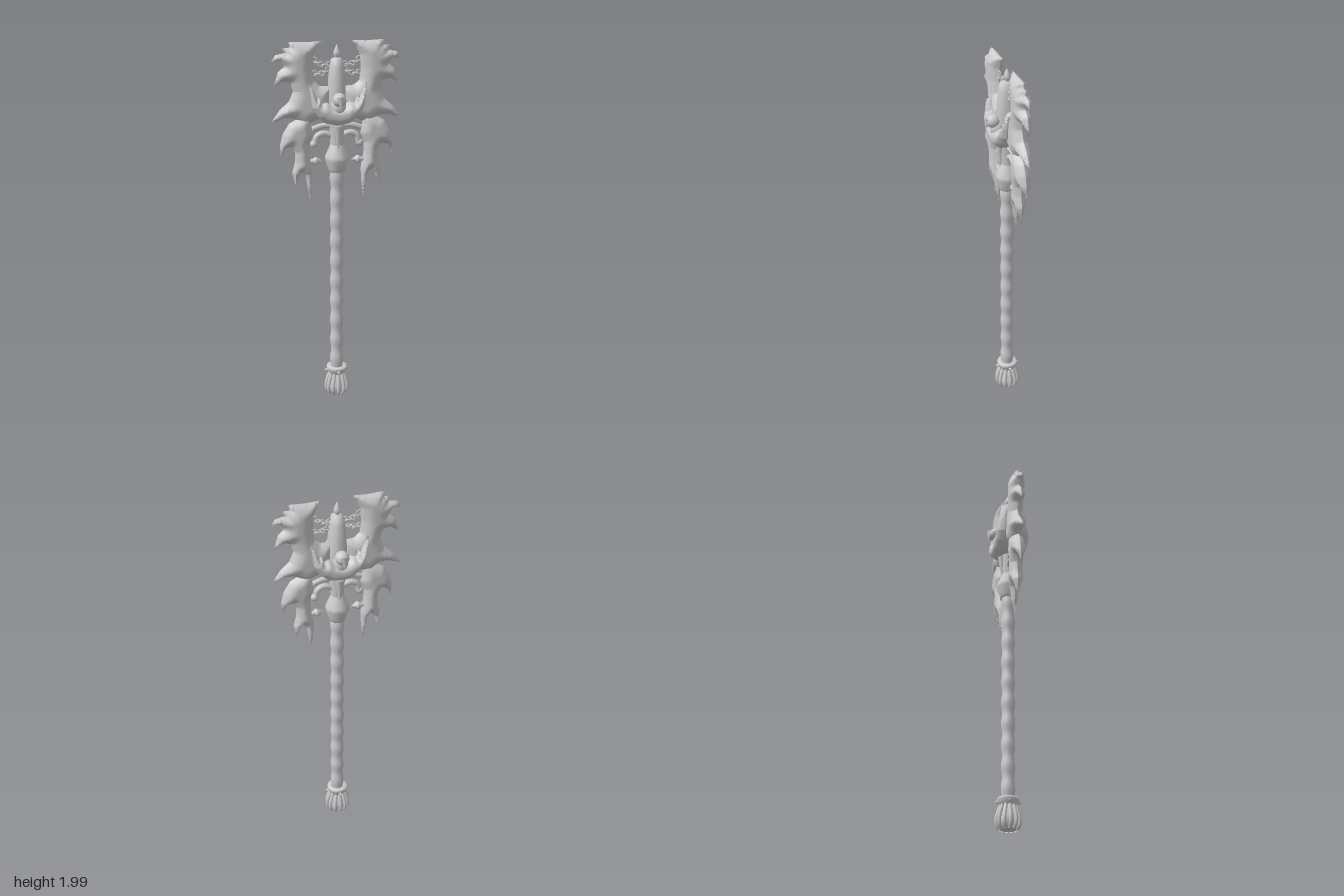
import * as THREE from 'three';
import { mergeVertices, mergeGeometries } from 'three/addons/utils/BufferGeometryUtils.js';

const material = new THREE.MeshStandardMaterial({ color: 0xcccccc, side: THREE.DoubleSide });
const V = (x, y, z = 0) => new THREE.Vector3(x, y, z);

function add(parent, name, geometry, x = 0, y = 0, z = 0) {
  const mesh = new THREE.Mesh(geometry, material);
  mesh.name = name;
  mesh.position.set(x, y, z);
  parent.add(mesh);
  return mesh;
}

const lathe = (pts, sides) => new THREE.LatheGeometry(pts.map(p => new THREE.Vector2(...p)), sides);
const tube = (pts, r, n = 12) => new THREE.TubeGeometry(new THREE.CatmullRomCurve3(pts), n, r, 8);

// Distance from a point to the closed outline
function edgeDistance(x, y, pts) {
  let best = Infinity;
  pts.forEach(([ax, ay], i) => {
    const [bx, by] = pts[(i + 1) % pts.length];
    const dx = bx - ax, dy = by - ay;
    const t = THREE.MathUtils.clamp(((x - ax) * dx + (y - ay) * dy) / (dx * dx + dy * dy), 0, 1);
    best = Math.min(best, Math.hypot(x - ax - t * dx, y - ay - t * dy));
  });
  return best;
}

// Flat outline swollen on both sides: thin at the edge, thick inside
function puff(pts, edge, depth, falloff, power, maxEdge = 0.018) {
  const flat = new THREE.ShapeGeometry(new THREE.Shape(pts.map(p => new THREE.Vector2(...p)))).toNonIndexed();
  const p = flat.attributes.position, front = [];
  const split = (a, b, c) => {
    const ab = a.distanceTo(b), bc = b.distanceTo(c), ca = c.distanceTo(a);
    const m = Math.max(ab, bc, ca);
    if (m < maxEdge) { front.push(a, b, c); return; }
    if (m === bc) return split(b, c, a);
    if (m === ca) return split(c, a, b);
    const mid = a.clone().add(b).multiplyScalar(0.5);
    split(a, mid, c);
    split(mid, b, c);
  };
  for (let i = 0; i < p.count; i += 3) {
    split(...[0, 1, 2].map(k => V(p.getX(i + k), p.getY(i + k))));
  }
  const raised = front.map(v => {
    const d = Math.min(1, edgeDistance(v.x, v.y, pts) / falloff);
    return V(v.x, v.y, edge + depth * Math.pow(1 - (1 - d) * (1 - d), power));
  });
  const back = [];
  for (let i = 0; i < raised.length; i += 3) {
    [0, 2, 1].forEach(k => back.push(V(raised[i + k].x, raised[i + k].y, -raised[i + k].z)));
  }
  const halves = [raised, back];
  if (edge > 0) {
    const wall = [];
    pts.forEach(([ax, ay], i) => {
      const [bx, by] = pts[(i + 1) % pts.length];
      const a = V(ax, ay, -edge), b = V(bx, by, -edge), c = V(bx, by, edge), d = V(ax, ay, edge);
      wall.push(a, b, c, a, c, d);
    });
    halves.push(wall);
  }
  return mergeGeometries(halves.map(h => {
    const g = mergeVertices(new THREE.BufferGeometry().setFromPoints(h), 1e-5);
    g.computeVertexNormals();
    return g.toNonIndexed();
  }));
}

// Upper wing with barbs, then the lower wing with hanging points
const upperBlade = [
  [0.07, 1.995], [0.15, 1.99], [0.25, 1.995], [0.238, 1.965], [0.285, 1.965], [0.262, 1.94],
  [0.315, 1.93], [0.338, 1.895], [0.295, 1.9], [0.272, 1.87], [0.305, 1.84], [0.328, 1.765],
  [0.28, 1.795], [0.24, 1.785], [0.228, 1.74], [0.25, 1.69], [0.3, 1.645], [0.345, 1.58],
  [0.27, 1.605], [0.22, 1.6], [0.175, 1.56], [0.12, 1.58], [0.03, 1.62], [0.03, 1.76],
  [0.09, 1.765], [0.118, 1.79], [0.125, 1.85], [0.12, 1.92], [0.1, 1.97],
];
const lowerBlade = [
  [0.14, 1.62], [0.19, 1.605], [0.25, 1.575], [0.285, 1.52], [0.3, 1.46], [0.295, 1.39],
  [0.268, 1.445], [0.24, 1.45], [0.222, 1.42], [0.222, 1.37], [0.238, 1.31], [0.22, 1.235],
  [0.205, 1.285], [0.185, 1.31], [0.167, 1.29], [0.158, 1.23], [0.145, 1.15], [0.133, 1.24],
  [0.128, 1.32], [0.142, 1.4], [0.145, 1.46], [0.125, 1.51], [0.135, 1.56],
];
// Right half of the horned crescent, from bottom centre to the inside centre
const crescentHalf = [
  [0, 1.565], [0.06, 1.575], [0.105, 1.61], [0.135, 1.66], [0.143, 1.72], [0.15, 1.785],
  [0.125, 1.735], [0.108, 1.7], [0.1, 1.72], [0.085, 1.68], [0.06, 1.685], [0.03, 1.665], [0, 1.66],
];

export function createModel() {
  const model = new THREE.Group();

  // Rippled shaft
  const shaft = [];
  for (let i = 0; i <= 80; i++) {
    const y = 0.16 + i * 1.16 / 80;
    shaft.push([0.035 + 0.003 * Math.cos((y - 0.22) * 2 * Math.PI / 0.117), y]);
  }
  add(model, 'shaft', lathe(shaft, 12));

  // Pommel: ribbed bulb under a spiked collar
  const pommel = new THREE.Group();
  pommel.name = 'pommel';
  model.add(pommel);
  add(pommel, 'bulb', lathe([[0, 0.005], [0.04, 0.008], [0.055, 0.03], [0.057, 0.06], [0.045, 0.1], [0.037, 0.14]], 20));
  add(pommel, 'collar', lathe([[0.035, 0.125], [0.045, 0.13], [0.05, 0.145], [0.058, 0.16], [0.055, 0.172], [0.034, 0.172]], 16));
  for (let i = 0; i < 12; i++) {
    const a = i * Math.PI / 6;
    const rib = add(pommel, 'rib', tube([V(0.036, 0.135), V(0.05, 0.1), V(0.06, 0.06), V(0.057, 0.03), V(0.042, 0.011)], 0.01));
    rib.rotation.y = a;
    if (i % 3 === 0) {
      const spike = add(pommel, 'collarSpike', new THREE.ConeGeometry(0.013, 0.03, 6), 0.058 * Math.cos(a), 0.15, -0.058 * Math.sin(a));
      spike.rotation.set(0, a, -Math.PI / 2);
    }
  }

  // Socket, neck and domed core
  add(model, 'socket', lathe([[0.035, 1.305], [0.044, 1.307], [0.047, 1.325], [0.063, 1.37], [0.061, 1.39], [0.042, 1.435], [0.034, 1.455]], 10));
  add(model, 'neck', lathe([[0.034, 1.45], [0.036, 1.49], [0.041, 1.56], [0.045, 1.6]], 10));
  const core = add(model, 'core', lathe([[0.03, 1.54], [0.044, 1.6], [0.048, 1.7], [0.046, 1.79], [0.039, 1.86], [0.031, 1.9], [0.015, 1.908], [0, 1.91]], 12));
  core.scale.z = 1.2;
  add(model, 'finial', lathe([[0.012, 1.9], [0.012, 1.915], [0.018, 1.92], [0.018, 1.935], [0.01, 1.955], [0, 1.975]], 8));

  // Crescent wrapped round front and back
  const crescent = [...crescentHalf, ...crescentHalf.slice(1, -1).reverse().map(([x, y]) => [-x, y])];
  add(model, 'crescent', puff(crescent, 0.047, 0.045, 0.04, 0.7, 0.012));

  // Beaked head and hanging tooth on both faces
  for (const s of [1, -1]) {
    const head = new THREE.Group();
    head.name = s > 0 ? 'frontHead' : 'backHead';
    head.rotation.y = s > 0 ? 0 : Math.PI;
    model.add(head);
    add(head, 'skull', new THREE.SphereGeometry(0.036, 14, 10), 0, 1.703, 0.075).scale.z = 1.1;
    const beak = add(head, 'beak', new THREE.ConeGeometry(0.022, 0.06, 8), 0, 1.69, 0.107);
    beak.rotation.x = Math.PI - 0.3;
    const brow = add(head, 'throat', new THREE.SphereGeometry(0.04, 12, 8), 0, 1.66, 0.05);
    brow.scale.y = 1.3;
    const tooth = add(head, 'tooth', new THREE.ConeGeometry(0.022, 0.14, 8), 0, 1.49, 0.036);
    tooth.rotation.x = Math.PI;
  }

  // Mirrored wings and their fittings
  for (const s of [1, -1]) {
    const wing = new THREE.Group();
    wing.name = s > 0 ? 'leftWing' : 'rightWing';
    model.add(wing);
    const flip = pts => pts.map(([x, y]) => [s * x, y]);
    add(wing, 'upperBlade', puff(flip(upperBlade), 0, 0.042, 0.065, 0.8));
    add(wing, 'lowerBlade', puff(flip(lowerBlade), 0, 0.04, 0.05, 0.8));
    // Curved struts from neck to lower blade
    add(wing, 'upperStrut', tube([V(s * 0.03, 1.555), V(s * 0.08, 1.555), V(s * 0.13, 1.54)], 0.014));
    add(wing, 'lowerStrut', tube([V(s * 0.025, 1.50), V(s * 0.07, 1.515), V(s * 0.105, 1.5), V(s * 0.118, 1.455)], 0.016));
    add(wing, 'strutKnob', new THREE.SphereGeometry(0.02, 10, 8), s * 0.122, 1.46);
    // Bolt pointing inward at the socket
    const bolt = add(wing, 'bolt', lathe([[0, -0.035], [0.022, -0.005], [0.022, 0.005], [0.012, 0.018], [0.012, 0.05]], 8), s * 0.112, 1.367);
    bolt.rotation.z = -s * Math.PI / 2;
    // Two short chains from core to upper blade
    for (const [y0, y1] of [[1.875, 1.9], [1.85, 1.83]]) {
      for (let i = 0; i < 5; i++) {
        const t = i / 4;
        const link = add(wing, 'chainLink', new THREE.TorusGeometry(0.012, 0.004, 6, 12),
          s * (0.042 + 0.075 * t), y0 + (y1 - y0) * t - 0.012 * Math.sin(t * Math.PI));
        link.rotation.x = i % 2 ? Math.PI / 2 : 0;
        link.scale.x = 1.2;
      }
    }
  }
  return model;
}
